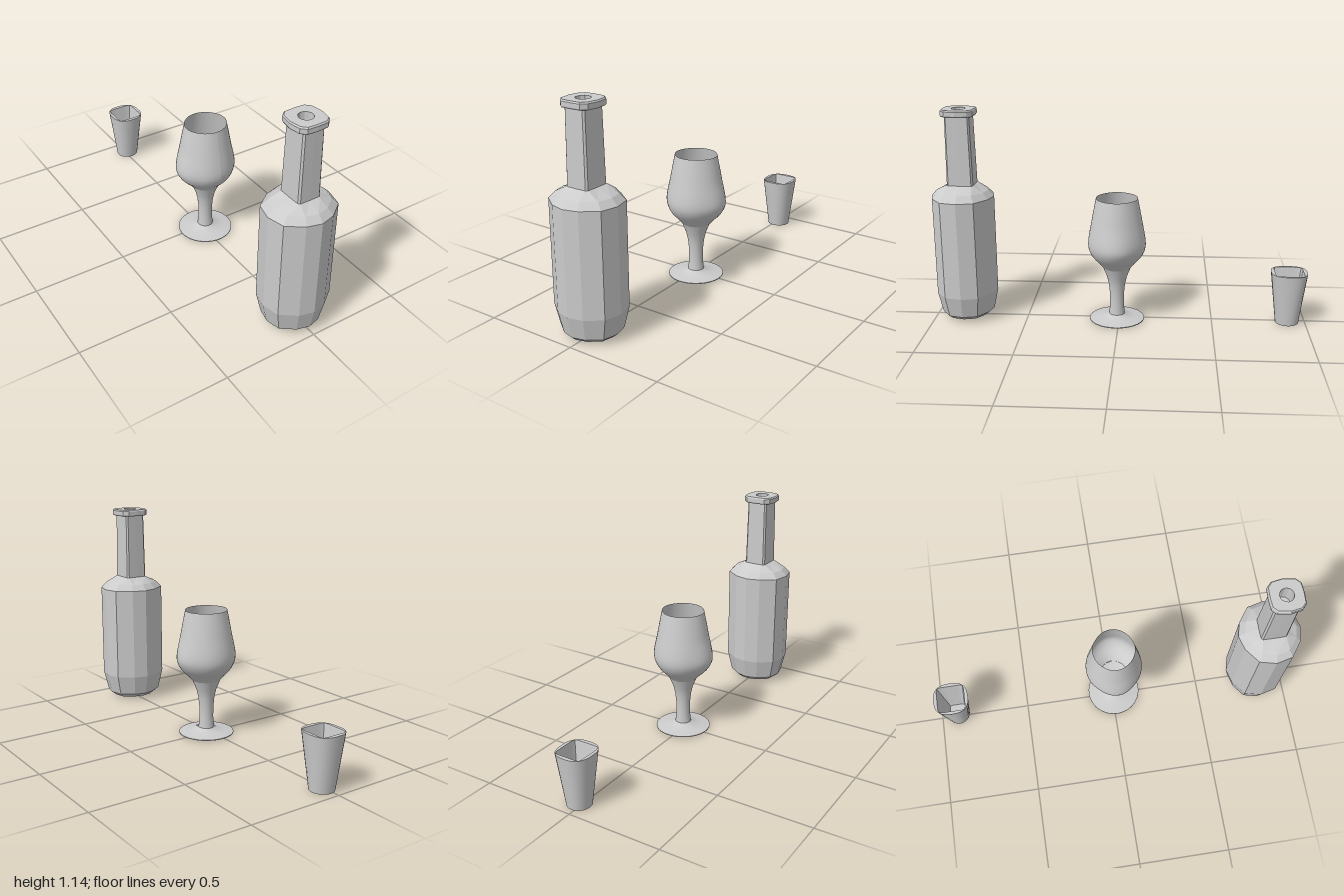
import * as THREE from 'three';
import { toCreasedNormals } from 'three/addons/utils/BufferGeometryUtils.js';

const smooth = new THREE.MeshStandardMaterial({ color: 0xcccccc, side: THREE.DoubleSide });
const faceted = new THREE.MeshStandardMaterial({ color: 0xcccccc, side: THREE.DoubleSide, flatShading: true });

// Skin a stack of rings; each is { y, pts: [[x, z], ...] }, listed bottom to top on the outside
function loft(rings) {
  const n = rings[0].pts.length, pos = [], idx = [];
  for (const { y, pts } of rings) for (const [x, z] of pts) pos.push(x, y, z);
  for (let r = 0; r < rings.length - 1; r++) {
    for (let i = 0; i < n; i++) {
      const j = (i + 1) % n, a = r * n + i, d = r * n + j;
      idx.push(a, a + n, d, a + n, d + n, d);
    }
  }
  const geo = new THREE.BufferGeometry();
  geo.setAttribute('position', new THREE.Float32BufferAttribute(pos, 3));
  geo.setIndex(idx);
  geo.computeVertexNormals();
  return geo;
}

// Mirror a four-point quarter outline (from +x to +z) into a twelve-sided ring
function mirrored(q) {
  const half = [...q, ...q.slice(0, 3).reverse().map(([x, z]) => [-x, z])];
  return [...half, ...half.slice(1, 6).reverse().map(([x, z]) => [x, -z])];
}

// Superellipse outline: exponent 2 is an ellipse, larger is squarer
function oval(rx, rz, e, n = 32) {
  return Array.from({ length: n }, (_, i) => {
    const t = (i / n) * Math.PI * 2, c = Math.cos(t), s = Math.sin(t);
    const k = Math.pow(Math.abs(c) ** e + Math.abs(s) ** e, -1 / e);
    return [rx * c * k, rz * s * k];
  });
}

const scaled = (pts, s) => pts.map(([x, z]) => [x * s, z * s]);

function addMesh(parent, name, geo, mat) {
  const mesh = new THREE.Mesh(geo, mat);
  mesh.name = name;
  parent.add(mesh);
}

function makeBottle() {
  const g = new THREE.Group();
  g.name = 'bottle';
  const body = mirrored([[0.177, 0], [0.156, 0.088], [0.076, 0.147], [0, 0.167]]);
  const neck = mirrored([[0.063, 0], [0.062, 0.06], [0.053, 0.069], [0, 0.07]]);
  const lip = mirrored([[0.09, 0], [0.08, 0.06], [0.055, 0.084], [0, 0.087]]);
  const hole = oval(0.036, 0.036, 2, 12);

  // Body with a recessed base and sloping shoulder
  addMesh(g, 'bottleBody', loft([
    [0.05, 0], [0.05, 0.42], [0.016, 0.52], [0.016, 0.7], [0.038, 0.85],
    [0.15, 1], [0.675, 1], [0.708, 0.82],
  ].map(([y, s]) => ({ y, pts: scaled(body, s) })).concat({ y: 0.742, pts: neck })), faceted);

  addMesh(g, 'bottleNeck', loft([
    { y: 0.742, pts: neck }, { y: 1.105, pts: scaled(neck, 0.93) },
  ]), faceted);

  // Lip with the mouth opening down into the neck
  addMesh(g, 'bottleLip', loft([
    { y: 1.105, pts: scaled(neck, 0.9) }, { y: 1.105, pts: scaled(lip, 0.95) },
    { y: 1.112, pts: lip }, { y: 1.134, pts: lip }, { y: 1.141, pts: scaled(lip, 0.94) },
    { y: 1.141, pts: hole }, { y: 1.04, pts: hole }, { y: 1.04, pts: scaled(hole, 0) },
  ]), faceted);

  g.position.set(-0.008, 0, 0.832);
  return g;
}

function makeGoblet() {
  const g = new THREE.Group();
  g.name = 'goblet';
  const lathe = (pts) => new THREE.LatheGeometry(pts.map(([r, y]) => new THREE.Vector2(r, y)), 40);

  addMesh(g, 'gobletFoot', toCreasedNormals(lathe([
    [0, 0.005], [0.147, 0.005], [0.147, 0.009], [0.1, 0.016], [0.055, 0.025], [0.042, 0.035],
  ]), 0.6), smooth);

  addMesh(g, 'gobletStem', lathe([
    [0.042, 0.035], [0.037, 0.09], [0.038, 0.15], [0.043, 0.2], [0.053, 0.245], [0.075, 0.3],
  ]), smooth);

  // Bowl, drawn out a little at the left and right of its belly
  const profile = new THREE.SplineCurve([
    [0.075, 0.3], [0.098, 0.328], [0.128, 0.36], [0.147, 0.395], [0.153, 0.43],
    [0.149, 0.475], [0.137, 0.54], [0.124, 0.61], [0.11, 0.682],
  ].map(([r, y]) => new THREE.Vector2(r, y))).getPoints(24);
  const bowl = new THREE.LatheGeometry(profile, 40);
  const p = bowl.attributes.position;
  for (let i = 0; i < p.count; i++) {
    const x = p.getX(i), r = Math.hypot(x, p.getZ(i));
    const side = Math.max(0, Math.abs(x) / r - 0.75) / 0.25;
    const belly = Math.max(0.4, 1 - Math.abs(p.getY(i) - 0.42) / 0.2);
    p.setX(i, x * (1 + 0.09 * side * belly));
  }
  bowl.computeVertexNormals();
  addMesh(g, 'gobletBowl', bowl, smooth);

  // Rounded floor inside the bowl
  addMesh(g, 'gobletBowlFloor', lathe([[0.075, 0.302], [0.04, 0.292], [0, 0.289]]), smooth);

  g.position.set(0.017, 0, 0.012);
  return g;
}

function makeShotGlass() {
  const g = new THREE.Group();
  g.name = 'shotGlass';
  const base = oval(0.062, 0.062, 2), rim = oval(0.09, 0.096, 2.7);
  // Round base flaring to a squarish rim, with a square tapering hollow
  addMesh(g, 'shotGlassShell', toCreasedNormals(loft([
    { y: 0.002, pts: scaled(base, 0) }, { y: 0.002, pts: base }, { y: 0.288, pts: rim },
    { y: 0.288, pts: oval(0.073, 0.076, 12) }, { y: 0.04, pts: oval(0.043, 0.043, 12) },
    { y: 0.04, pts: scaled(base, 0) },
  ]), 0.5), smooth);
  g.position.set(0.015, 0, -0.904);
  return g;
}

export function createModel() {
  const model = new THREE.Group();
  model.name = 'drinkSet';
  model.add(makeBottle(), makeGoblet(), makeShotGlass());
  return model;
}
